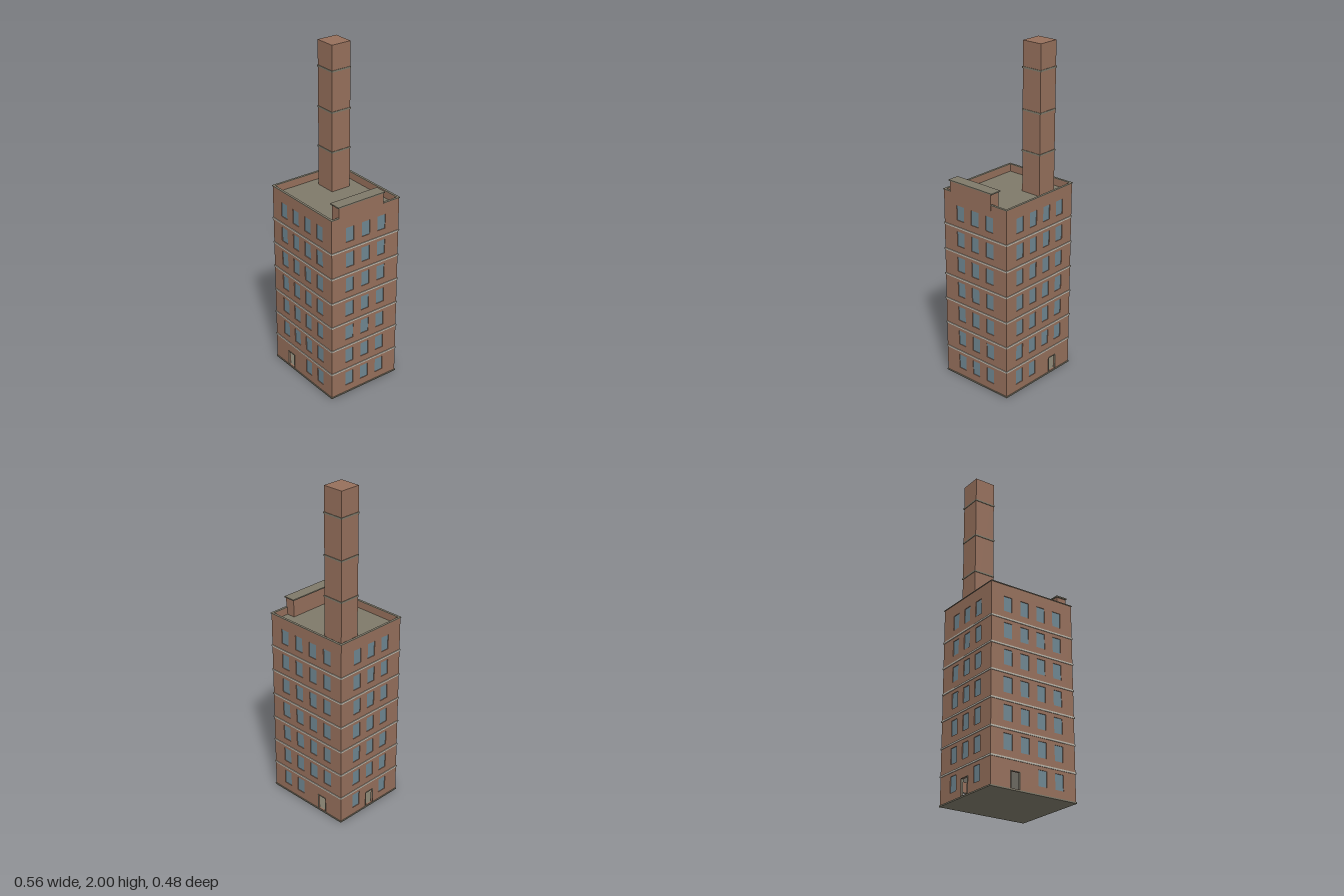
import * as THREE from 'three';

const mat = (name, color) => {
  const m = new THREE.MeshStandardMaterial({ color });
  m.name = name;
  return m;
};

export function createModel() {
  const brick = mat('brick', 0x96705c);
  const concrete = mat('roof concrete', 0x7f7a6a);
  const stone = mat('pale stone', 0xb9b4a8);
  const glass = mat('window glass', 0x6f8792);

  const model = new THREE.Group();
  model.name = 'towerBuilding';

  // Box given by its minimum and maximum corners
  const box = (name, material, [x0, y0, z0], [x1, y1, z1], parent = model) => {
    const mesh = new THREE.Mesh(new THREE.BoxGeometry(x1 - x0, y1 - y0, z1 - z0), material);
    mesh.position.set((x0 + x1) / 2, (y0 + y1) / 2, (z0 + z1) / 2);
    mesh.name = name;
    parent.add(mesh);
    return mesh;
  };

  const HX = 0.277, HZ = 0.237;       // outer half sizes
  const T = 0.01;                     // wall thickness
  const OUT = 0.004;                  // ledge overhang
  const BASE = 0.008, STOREY = 0.159, FLOORS = 7;
  const ROOF = 1.125, TOP = 1.167;
  const WIN_W = 0.056, WIN_H = 0.09;
  const DOOR_W = 0.055, DOOR_Y0 = 0.011, DOOR_Y1 = 0.103;

  const rect = (Type, x0, y0, x1, y1) => {
    const p = new Type();
    p.moveTo(x0, y0);
    p.lineTo(x1, y0);
    p.lineTo(x1, y1);
    p.lineTo(x0, y1);
    p.closePath();
    return p;
  };

  // Wall with window openings, recessed panes and an optional door opening;
  // local +z is the outside, and the outer face lies at z = 0
  function wall(name, halfWidth, columns, groundColumns, doorX) {
    const group = new THREE.Group();
    group.name = name;
    const shape = rect(THREE.Shape, -halfWidth, BASE, halfWidth, TOP);
    for (let f = 0; f < FLOORS; f++) {
      const y = 0.097 + f * STOREY;
      for (const x of f === 0 ? groundColumns : columns) {
        const w = WIN_W / 2, h = WIN_H / 2;
        shape.holes.push(rect(THREE.Path, x - w, y - h, x + w, y + h));
        box('window', glass, [x - w, y - h, -0.009], [x + w, y + h, -0.004], group);
      }
    }
    if (doorX !== undefined) {
      const a = doorX - DOOR_W / 2, b = doorX + DOOR_W / 2, e = 0.003;
      shape.holes.push(rect(THREE.Path, a, DOOR_Y0, b, DOOR_Y1));
      // Slim frame around the doorway
      box('doorFrameSide', concrete, [a - e, BASE, -T], [a, DOOR_Y1 + e, OUT], group);
      box('doorFrameSide', concrete, [b, BASE, -T], [b + e, DOOR_Y1 + e, OUT], group);
      box('doorFrameTop', concrete, [a, DOOR_Y1, -T], [b, DOOR_Y1 + e, OUT], group);
    }
    const geo = new THREE.ExtrudeGeometry(shape, { depth: T, bevelEnabled: false });
    geo.translate(0, 0, -T);
    const mesh = new THREE.Mesh(geo, brick);
    mesh.name = 'brickWall';
    group.add(mesh);
    model.add(group);
    return group;
  }

  // Four walls
  const four = [-0.167, -0.0555, 0.0555, 0.167];
  const three = [-0.111, 0, 0.111];
  wall('frontWall', HX, four, four.slice(2), -0.122).position.z = HZ;
  const back = wall('backWall', HX, four, four.slice(0, 2), 0.122);
  back.rotation.y = Math.PI;
  back.position.z = -HZ;
  const left = wall('leftWall', HZ - T, three, three);
  left.rotation.y = Math.PI / 2;
  left.position.x = HX;
  const right = wall('rightWall', HZ - T, three, [-0.111, 0.111], 0);
  right.rotation.y = -Math.PI / 2;
  right.position.x = -HX;

  // Base, floor slabs showing as ledges, and the sunken roof
  box('baseSlab', concrete, [-HX - OUT, 0, -HZ - OUT], [HX + OUT, BASE, HZ + OUT]);
  for (let f = 1; f < FLOORS; f++) {
    const y = BASE + f * STOREY;
    box('floorLedge', stone, [-HX - OUT, y - 0.005, -HZ - OUT], [HX + OUT, y + 0.005, HZ + OUT]);
  }
  box('roof', concrete, [-HX + T, ROOF - 0.01, -HZ + T], [HX - T, ROOF, HZ - T]);

  // Parapet coping, broken on the left where the roof hut stands
  const X = HX + OUT, Z = HZ + OUT, xi = HX - T, zi = HZ - T, C = TOP + 0.004;
  const hutBack = -0.122, hutFront = 0.187;
  box('copingFront', concrete, [-X, TOP, zi], [X, C, Z]);
  box('copingBack', concrete, [-X, TOP, -Z], [X, C, -zi]);
  box('copingRight', concrete, [-X, TOP, -zi], [-xi, C, zi]);
  box('copingLeft', concrete, [xi, TOP, -zi], [X, C, hutBack]);
  box('copingLeft', concrete, [xi, TOP, hutFront], [X, C, zi]);

  // Roof hut with an overhanging slab
  box('roofHut', brick, [0.215, ROOF, hutBack], [HX + 0.0004, 1.23, hutFront]);
  box('roofHutSlab', concrete, [0.209, 1.23, -0.13], [X, 1.237, 0.195]);

  // Square chimney with thin bands
  const cx = -0.141, cz = -0.1;
  const square = (name, m, r, y0, y1) => box(name, m, [cx - r, y0, cz - r], [cx + r, y1, cz + r]);
  square('chimney', brick, 0.064, ROOF, 2);
  for (const y of [1.37, 1.61, 1.85]) square('chimneyBand', concrete, 0.067, y - 0.005, y + 0.005);

  return model;
}
